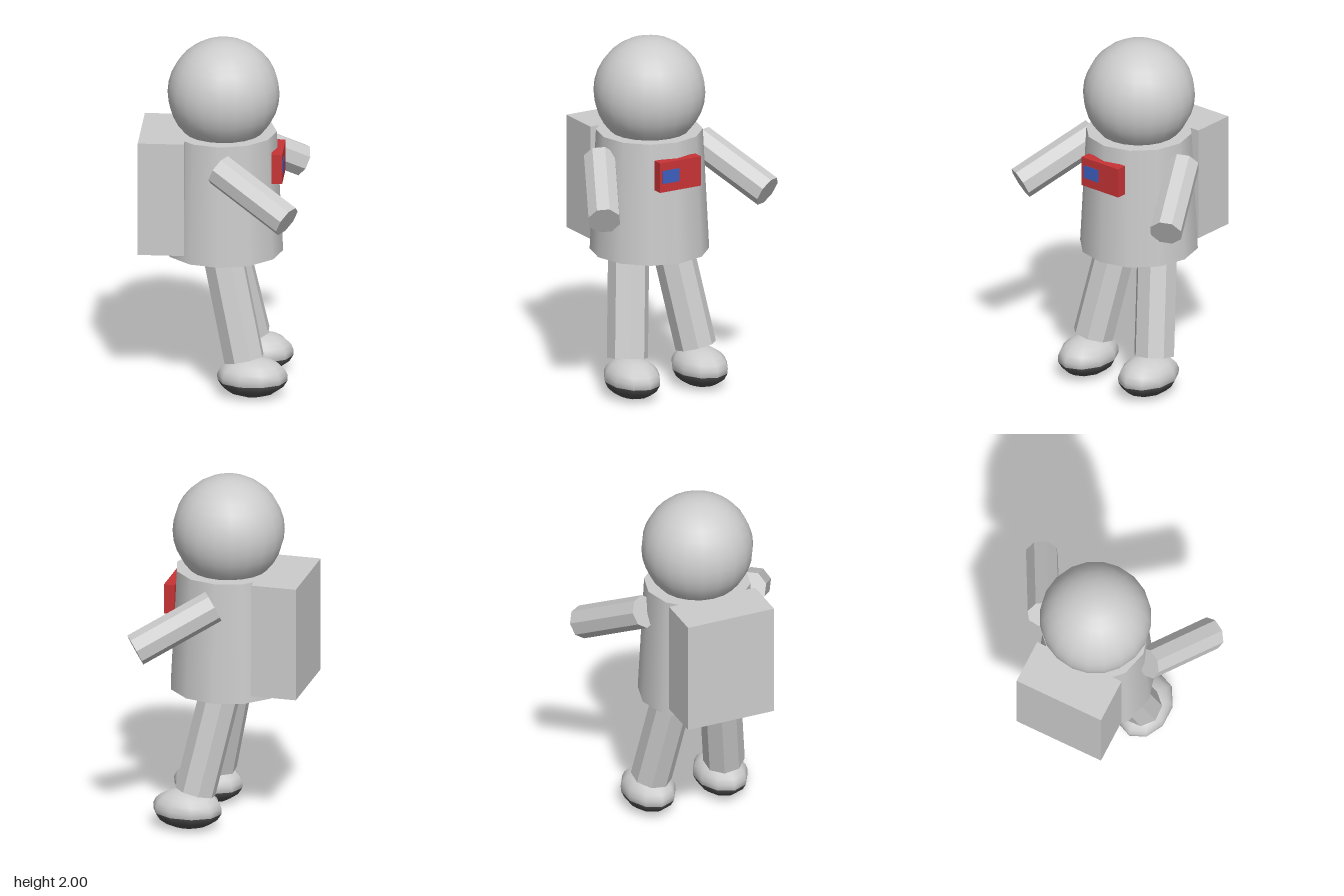
import * as THREE from 'three';

const paint = (name, color) => {
  const m = new THREE.MeshStandardMaterial({ color });
  m.name = name;
  return m;
};

export function createModel() {
  const model = new THREE.Group();
  model.name = 'astronaut';
  const suit = paint('suit grey', 0xcccccc);
  const sole = paint('sole dark grey', 0x505050);
  const red = paint('panel red', 0xc83436);
  const blue = paint('badge blue', 0x3c5fc0);

  const add = (name, geometry, material, x = 0, y = 0, z = 0) => {
    const mesh = new THREE.Mesh(geometry, material);
    mesh.name = name;
    mesh.position.set(x, y, z);
    model.add(mesh);
    return mesh;
  };

  // Eight-sided faceted limb running between two points
  const limb = (name, from, to, radius) => {
    const a = new THREE.Vector3(...from);
    const b = new THREE.Vector3(...to);
    const dir = b.clone().sub(a);
    const geometry = new THREE.CylinderGeometry(radius, radius, dir.length(), 8).toNonIndexed();
    geometry.computeVertexNormals();
    const mesh = add(name, geometry, suit);
    mesh.position.copy(a).lerp(b, 0.5);
    mesh.quaternion.setFromUnitVectors(new THREE.Vector3(0, 1, 0), dir.normalize());
  };

  // Head and slightly flared body, facing +x
  add('head', new THREE.SphereGeometry(0.31, 20, 16), suit, 0, 1.69, 0);
  add('torso', new THREE.CylinderGeometry(0.295, 0.33, 0.69, 12), suit, 0, 1.125, 0)
    .rotation.y = Math.PI / 2;

  // Backpack
  add('backpack', new THREE.BoxGeometry(0.255, 0.65, 0.52), suit, -0.328, 1.145, 0);

  // Chest panel with a thin badge
  add('chestPanel', new THREE.BoxGeometry(0.06, 0.17, 0.264), red, 0.304, 1.295, 0);
  add('badge', new THREE.BoxGeometry(0.004, 0.075, 0.106), blue, 0.335, 1.297, 0.063);

  // Limbs and two-tone shoes, mirrored across z
  const split = 1.75; // polar angle where the shoe meets its sole
  for (const [side, s] of [['near', 1], ['far', -1]]) {
    limb(side + 'Arm', [0, 1.35, 0.32 * s], [0.39, 1.128, 0.525 * s], 0.092);
    limb(side + 'Leg', [-0.005, 0.85, 0.13 * s], [0.13, 0.215, 0.22 * s], 0.115);

    const parts = [['Shoe', suit, 0, split, 6], ['Sole', sole, split, Math.PI - split, 4]];
    for (const [part, material, start, length, rows] of parts) {
      const geometry = new THREE.SphereGeometry(1, 10, rows, 0, Math.PI * 2, start, length);
      geometry.scale(0.197, 0.113, 0.147);
      add(side + part, geometry, material, 0.176, 0.113, 0.218 * s);
    }
  }
  return model;
}
